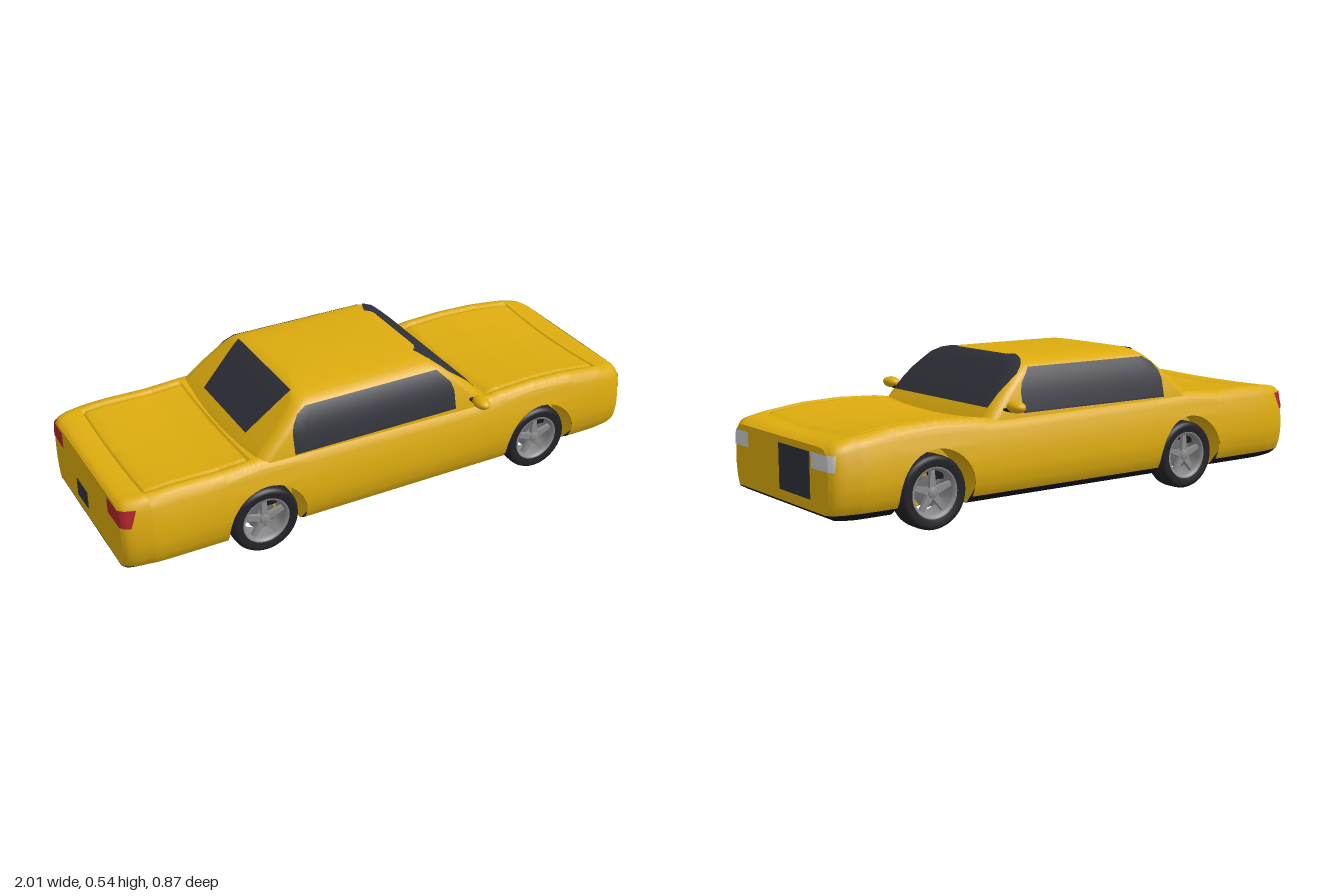
import * as THREE from 'three';

const mat = (name, color) => Object.assign(new THREE.MeshStandardMaterial({ color, side: THREE.DoubleSide }), { name });
const paint = mat('yellow paint', 0xdcab0e);
const glass = mat('dark glass', 0x2f3038);
const black = mat('black underside', 0x17171b);
const rubber = mat('tyre rubber', 0x222227);
const alloy = mat('grey alloy', 0x8c8c8e);
const steel = mat('brake steel', 0x6a6a6e);
const lampWhite = mat('lamp white', 0xcbccce);
const lampRed = mat('lamp red', 0xb0262c);

// Piecewise linear lookup in a short table of [input, output] pairs
function look(table, v) {
  if (v <= table[0][0]) return table[0][1];
  for (let i = 1; i < table.length; i++) {
    const [a, fa] = table[i - 1], [b, fb] = table[i];
    if (v <= b) return fa + (fb - fa) * (v - a) / (b - a);
  }
  return table[table.length - 1][1];
}

// Surface through equal-length rows of [x, y, z]
function surface(name, rows, material) {
  const n = rows[0].length, index = [];
  for (let i = 0; i < rows.length - 1; i++) for (let j = 0; j < n - 1; j++) {
    const a = i * n + j, b = a + n;
    index.push(a, b, a + 1, b, b + 1, a + 1);
  }
  const g = new THREE.BufferGeometry();
  g.setAttribute('position', new THREE.Float32BufferAttribute(rows.flat(2), 3));
  g.setIndex(index);
  g.computeVertexNormals();
  return part(name, g, material);
}

function part(name, geometry, material, x = 0, y = 0, z = 0) {
  const m = new THREE.Mesh(geometry, material);
  m.name = name;
  m.position.set(x, y, z);
  return m;
}

// Body measurements along the length and height
const deck = [[-1, .325], [-.985, .338], [-.95, .345], [-.8, .352], [-.65, .35], [-.5, .36], [-.3, .355], [.3, .345],
  [.39, .346], [.45, .355], [.6, .362], [.75, .357], [.9, .338], [.97, .325], [1, .308]];
const taper = [[-1, .88], [-.985, .93], [-.95, .965], [-.88, 1], [.88, 1], [.95, .97], [.985, .93], [1, .87]];
const floor = [[-1, .092], [-.97, .075], [-.92, .068], [.92, .068], [.97, .075], [1, .092]];
const bulge = [[.06, .29], [.075, .32], [.095, .345], [.12, .36], [.17, .37], [.22, .369], [.27, .362], [.32, .349], [.37, .33]];
const sillY = .095, wheelX = [-.49, .62], archR = .145, archY = .13, wellZ = .245;
const panels = [[-.9, -.53], [.42, .895]], panelZ = .29;
const bodyZ = (x, y) => look(bulge, y) * look(taper, x);
const wheelAt = x => wheelX.find(w => Math.abs(x - w) <= archR + 1e-6);

// Stations along x, close together at panel gaps, arches and the rounded ends
function stations() {
  const xs = [-1, -.993, -.985, -.97, .97, .985, .993, 1];
  for (let i = -19; i <= 19; i++) xs.push(i * .05);
  panels.flat().forEach(e => xs.push(e - .007, e, e + .007));
  wheelX.forEach(w => {
    for (let i = 0; i <= 28; i++) xs.push(w + archR * Math.cos(Math.PI * i / 28));
    xs.push(w - archR - 1e-4, w + archR + 1e-4);
  });
  return xs.sort((a, b) => a - b);
}

// Painted half section: hollow deck with panel gaps, shoulder, side down to sill or arch
function paintSection(x) {
  const T = look(deck, x), s = look(taper, x), w = wheelAt(x), pts = [];
  const hollow = .017 * look([[-1, .2], [-.9, 1], [.9, 1], [1, .2]], x);
  for (const z of [0, .08, .16, .23, .27, .283, .29, .297, .312]) {
    const gap = panels.some(([a, b]) => (Math.abs(z - panelZ) < .001 && x > a - .001 && x < b + .001) ||
      (z < panelZ + .001 && (Math.abs(x - a) < .001 || Math.abs(x - b) < .001)));
    pts.push([x, T - hollow * (1 - (z / .312) ** 2) - (gap ? .01 : 0), z * s]);
  }
  const low = w === undefined ? sillY : archY + Math.sqrt(Math.max(0, archR ** 2 - (x - w) ** 2));
  const high = T - .022, zs = bodyZ(x, high);
  pts.push([x, T - .006, .312 * s + (zs - .312 * s) * .65]);
  for (let i = 0; i <= 12; i++) {
    const y = high + (low - high) * i / 12;
    pts.push([x, y, bodyZ(x, y)]);
  }
  return pts;
}

// Dark half section: sill and floor, stopping short at the wheel wells
function floorSection(x) {
  const b = look(floor, x), inner = [x, b, wellZ];
  const outer = [[x, sillY, bodyZ(x, sillY)], [x, b, bodyZ(x, b)]];
  return [...(wheelAt(x) === undefined ? outer : [inner, inner]), inner, [x, b, 0]];
}

const mirrored = pts => [...pts.slice().reverse().map(([x, y, z]) => [x, y, -z]), ...pts];

function addBody(car) {
  const xs = stations();
  car.add(surface('bodyShell', xs.map(x => mirrored(paintSection(x))), paint));
  for (const side of [1, -1]) {
    car.add(surface('underside', xs.map(x => floorSection(x).map(([a, b, c]) => [a, b, c * side])), black));
  }
  for (const x of [-1, 1]) {
    const across = pts => pts.map(([a, b, c]) => x > 0 ? [[a, b, c], [a, b, -c]] : [[a, b, -c], [a, b, c]]);
    car.add(surface('endPanel', across(paintSection(x)), paint), surface('endSill', across(floorSection(x)), black));
  }
  // Wheel wells
  for (const w of wheelX) for (const side of [1, -1]) {
    const rim = [[w + archR, .07]];
    for (let i = 0; i <= 20; i++) rim.push([w + archR * Math.cos(Math.PI * i / 20), archY + archR * Math.sin(Math.PI * i / 20)]);
    rim.push([w - archR, .07]);
    car.add(surface('wheelWell', rim.map(([x, y]) => [[x, y, side * bodyZ(x, y)], [x, y, side * wellZ]]), paint));
    car.add(surface('wellWall', rim.map(([x, y]) => [[x, y, side * wellZ], [x, .07, side * wellZ]]), paint));
  }
}

// Cabin measurements by height
const cabinY = [.33, .36, .39, .42, .45, .48, .5, .51, .52, .528, .533, .536];
const screenX = [[.33, .41], [.36, .388], [.42, .335], [.48, .272], [.5, .25], [.52, .222], [.528, .204], [.533, .18], [.536, .12]];
const rearX = [[.33, -.525], [.365, -.495], [.49, -.36], [.52, -.325], [.528, -.307], [.533, -.28], [.536, -.2]];
const cabinZ = [[.33, .338], [.36, .334], [.42, .32], [.45, .31], [.48, .297], [.5, .284], [.51, .27], [.52, .25], [.528, .21], [.533, .14], [.536, .07]];
const cornerR = .045;
const drop = d => cornerR - Math.sqrt(Math.max(0, cornerR ** 2 - Math.min(cornerR, Math.max(0, d + cornerR)) ** 2));
const rowsBetween = (a, b) => [a, ...cabinY.filter(y => y > a + .001 && y < b - .001), b];
const spread = (a, b, n) => Array.from({ length: n + 1 }, (_, i) => a + (b - a) * i / n);

function addCabin(car) {
  const rings = cabinY.map(y => {
    const f = look(screenX, y), r = look(rearX, y), h = look(cabinZ, y), ring = [];
    [[f, h, 0], [r, h, 1], [r, -h, 2], [f, -h, 3]].forEach(([x, z, q]) => {
      for (let i = 0; i <= 8; i++) {
        const a = (q + i / 8) * Math.PI / 2;
        ring.push([x - Math.sign(x - (f + r) / 2) * cornerR + cornerR * Math.cos(a), y, z - Math.sign(z) * cornerR + cornerR * Math.sin(a)]);
      }
    });
    return [...ring, ring[0]];
  });
  rings.push(rings[0].map(() => [-.04, .537, 0]));
  car.add(surface('cabinShell', rings, paint));

  // Glass sheets that follow the cabin surface
  car.add(surface('windscreen', rowsBetween(.374, .53).map(y => {
    const h = look(cabinZ, y), e = Math.min(.295, h - .006);
    return spread(-e, e, 24).map(z => [look(screenX, y) - drop(Math.abs(z) - h) + .003, y + .003, z]);
  }), glass));
  car.add(surface('rearWindow', rowsBetween(.38, .522).map(y => {
    const e = look([[.38, .175], [.522, .21]], y);
    return spread(-e, e, 8).map(z => [look(rearX, y) - .003, y + .003, z]);
  }), glass));
  for (const side of [1, -1]) car.add(surface('sideWindow', rowsBetween(.352, .5).map(y => {
    const a = look([[.44, -.375], [.48, -.345], [.5, -.31]], y), b = look([[.44, .26], [.5, .205]], y);
    return spread(a, b, 24).map(x => {
      const d = Math.max(x - look(screenX, y), look(rearX, y) - x);
      return [x, y + .001, side * (look(cabinZ, y) - drop(d) + .004)];
    });
  }), glass));

  // Door mirrors
  for (const side of [1, -1]) {
    const shell = part('doorMirror', new THREE.SphereGeometry(1, 24, 16), paint, .33, .386, side * .392);
    shell.scale.set(.027, .02, .041);
    car.add(shell, part('mirrorStalk', new THREE.BoxGeometry(.018, .008, .06), black, .33, .371, side * .345));
  }
}

// Lamp sheet wrapping a body corner: along the side, round the end, then inward
function addLamps(car) {
  const lamp = (name, end, y0, y1, start, inner, material) => {
    for (const side of [1, -1]) car.add(surface(name, spread(y0, y1, 4).map(y => {
      const along = spread(look(start, y), 1, 5).map(x => [end * (x + .002), y, side * (bodyZ(end * x, y) + .003)]);
      return [...along, [end * 1.003, y, side * inner]];
    }), material));
  };
  lamp('headlamp', 1, .235, .287, [[.235, .985], [.287, .978]], .22, lampWhite);
  lamp('tailLamp', -1, .257, .318, [[.257, .968], [.318, .945]], .22, lampRed);
  car.add(part('grille', new THREE.BoxGeometry(.006, .154, .205), glass, 1, .208, -.1025));
  car.add(part('rearPlate', new THREE.BoxGeometry(.006, .065, .1), glass, -1, .17, -.05));
}

function makeWheel() {
  const wheel = new THREE.Group();
  wheel.name = 'wheel';
  const turned = (name, profile, material) => wheel.add(part(name,
    new THREE.LatheGeometry(profile.map(p => new THREE.Vector2(...p)), 48).rotateX(Math.PI / 2), material));
  turned('tyre', [[.084, -.04], [.108, -.046], [.119, -.041], [.124, -.03], [.125, -.015], [.125, .015],
    [.124, .03], [.119, .041], [.108, .046], [.084, .04]], rubber);
  turned('rim', [[.074, -.04], [.074, .028], [.079, .041], [.087, .041]], alloy);
  turned('brakeDisc', [[0, .002], [.052, .002], [.052, -.006], [0, -.006]], steel);
  turned('hub', [[0, .034], [.014, .034], [.02, .028], [.02, -.03], [0, -.03]], alloy);
  wheel.add(part('brakeCaliper', new THREE.BoxGeometry(.05, .024, .024), black, .028, .05, 0));
  // Tapered spokes
  const outline = new THREE.Shape([[-.013, .008], [.013, .008], [.008, .077], [-.008, .077]].map(p => new THREE.Vector2(...p)));
  const spoke = new THREE.ExtrudeGeometry(outline, { depth: .014, bevelEnabled: false });
  for (let i = 0; i < 5; i++) {
    const s = part('spoke', spoke, alloy, 0, 0, .015);
    s.rotation.z = i * Math.PI * 2 / 5;
    wheel.add(s);
  }
  return wheel;
}

export function createModel() {
  const car = new THREE.Group();
  car.name = 'car';
  addBody(car);
  addCabin(car);
  addLamps(car);
  for (const x of wheelX) for (const side of [1, -1]) {
    const wheel = makeWheel();
    wheel.position.set(x, .125, side * .3);
    if (side < 0) wheel.rotation.y = Math.PI;
    car.add(wheel);
  }
  return car;
}
